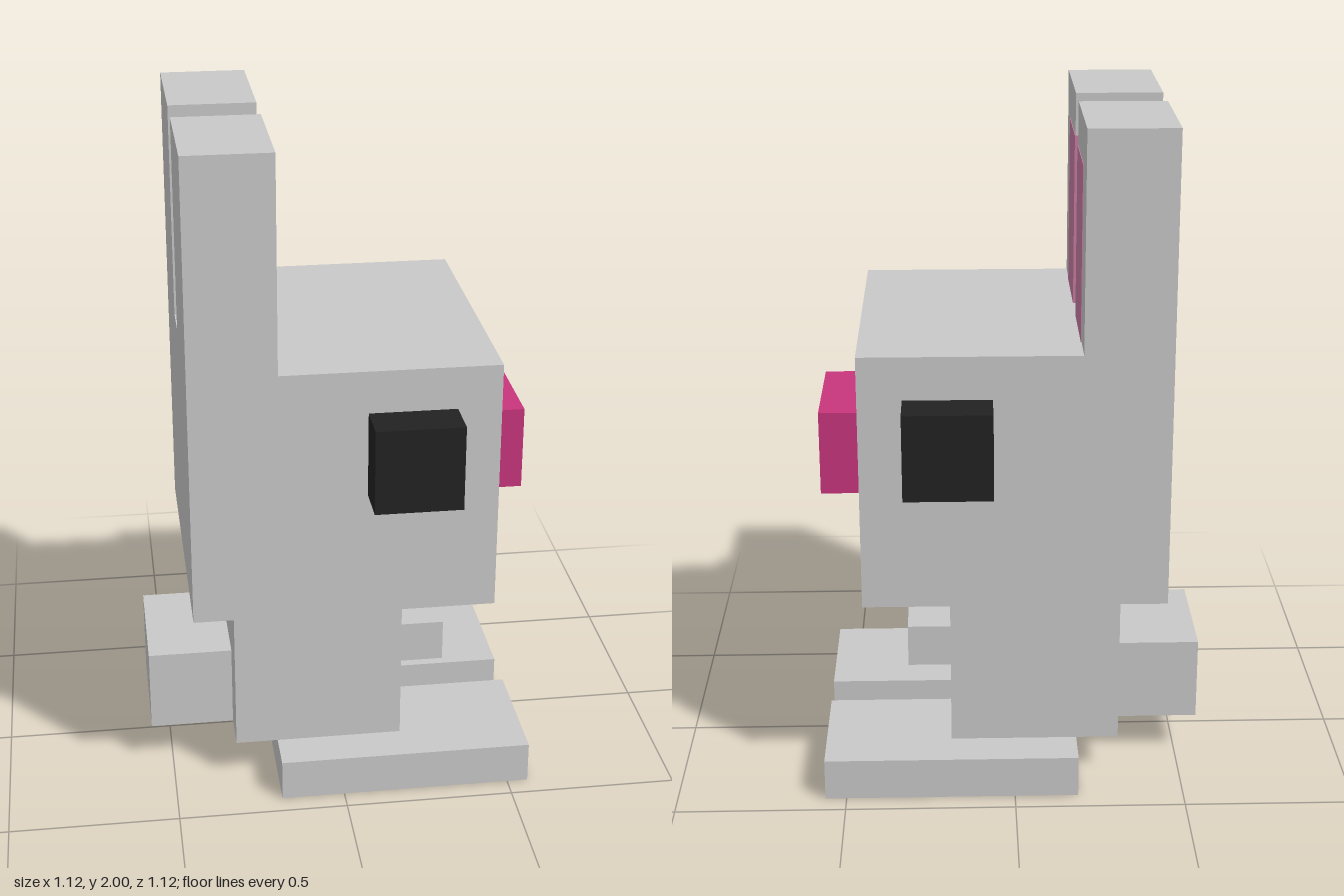
import * as THREE from 'three';

const U = 1 / 16; // block grid unit

export function createModel() {
  const model = new THREE.Group();
  model.name = 'blockRabbit';

  const material = (name, color) => {
    const m = new THREE.MeshStandardMaterial({ color });
    m.name = name;
    return m;
  };
  const fur = material('greyFur', 0xc9c9c9);
  const pink = material('nosePink', 0xc8357d);
  const palePink = material('innerEarPink', 0xc87da3);
  const black = material('eyeBlack', 0x222222);

  // Box spanning two opposite corners given in grid units
  function block(name, mat, [x0, y0, z0], [x1, y1, z1], grow = 0) {
    const size = [x1 - x0, y1 - y0, z1 - z0].map((s) => s * U + grow * 2);
    const mesh = new THREE.Mesh(new THREE.BoxGeometry(...size), mat);
    mesh.position.set((x0 + x1) / 2, (y0 + y1) / 2, (z0 + z1) / 2).multiplyScalar(U);
    mesh.name = name;
    model.add(mesh);
  }

  // The same box on both sides of the body
  function pair(name, mat, [x0, y0, z0], [x1, y1, z1], grow) {
    block(name + 'Near', mat, [x0, y0, z0], [x1, y1, z1], grow);
    block(name + 'Far', mat, [x0, y0, -z1], [x1, y1, -z0], grow);
  }

  // Central parts; the face looks along +x
  block('head', fur, [-7, 10, -7], [7, 22, 7]);
  block('nose', pink, [7, 14, -3], [9, 18, 3]);
  block('body', fur, [-5, 2, -5], [3, 10, 5]);
  block('tail', fur, [-9, 2, -3], [-5, 6, 3]);

  // Mirrored parts
  pair('ear', fur, [-7, 22, 1], [-3, 32, 7]);
  pair('innerEar', palePink, [-5, 22, 1], [-3, 30, 5], 0.002); // wraps the inner front corner
  pair('eye', black, [1, 16, 7], [5, 20, 9]);
  pair('arm', fur, [3, 6, 1], [5, 8, 5]);
  pair('foot', fur, [-3, 0, 1], [9, 2, 7]);

  return model;
}
